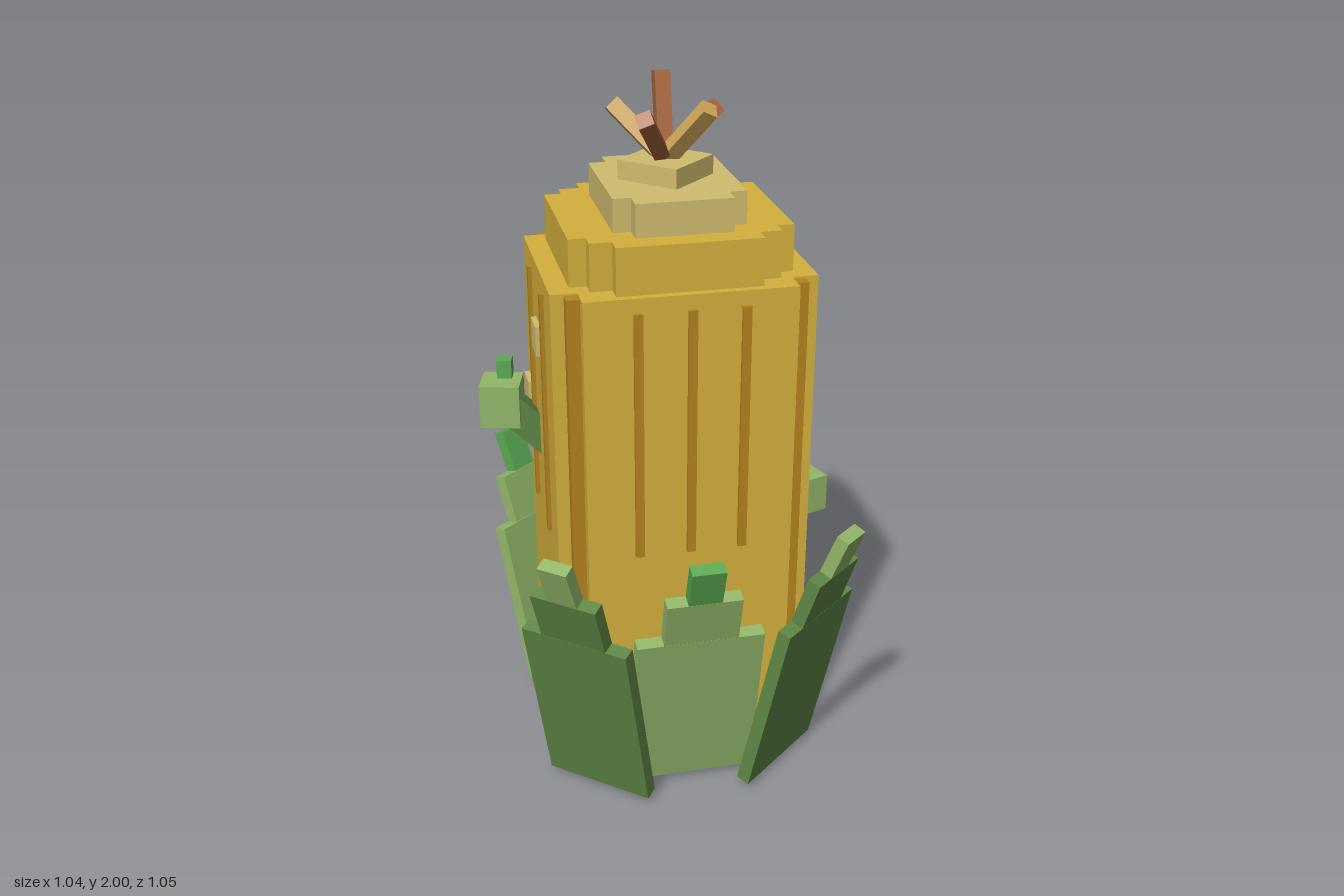
import * as THREE from 'three';

const mat = (name, color) => {
  const m = new THREE.MeshStandardMaterial({ color });
  m.name = name;
  return m;
};

export function createModel() {
  const gold = mat('kernel gold', 0xd3b03c);
  const amber = mat('amber', 0xb3831f);
  const pale = mat('pale kernel', 0xd0bc6e);
  const tan = mat('tan silk', 0xcfa557);
  const brown = mat('brown silk', 0xa8653a);
  const black = mat('face black', 0x1c1a0d);
  const leaf = mat('light leaf', 0x92b669);
  const darkLeaf = mat('dark leaf', 0x5f8746);
  const tipGreen = mat('bright leaf tip', 0x5ba852);

  const model = new THREE.Group();
  model.name = 'cornCharacter';
  const CX = 0.005, CZ = -0.012; // axis of the cob

  const box = (name, m, w, h, d, x, y, z, parent = model) => {
    const mesh = new THREE.Mesh(new THREE.BoxGeometry(w, h, d), m);
    mesh.name = name;
    mesh.position.set(x, y, z);
    parent.add(mesh);
    return mesh;
  };
  // Box with its long axis running between two points
  const stick = (name, m, a, b, w, d = w, parent = model) => {
    const p = new THREE.Vector3(...a), q = new THREE.Vector3(...b);
    const mid = p.clone().add(q).multiplyScalar(0.5);
    const mesh = box(name, m, w, p.distanceTo(q), d, mid.x, mid.y, mid.z, parent);
    mesh.quaternion.setFromUnitVectors(new THREE.Vector3(0, 1, 0), q.sub(p).normalize());
    return mesh;
  };
  // Stack of crossing boxes that makes a stepped round outline
  const tier = (name, m, y0, y1, sizes) => sizes.forEach(([hx, hz, mm = m]) =>
    box(name, mm, 2 * hx, y1 - y0, 2 * hz, CX, (y0 + y1) / 2, CZ));

  // Cob
  tier('cobBody', gold, 0.075, 1.505, [[0.357, 0.25], [0.285, 0.322]]);
  tier('cobCorners', amber, 0.08, 1.5, [[0.321, 0.285]]);
  tier('cobShoulder', gold, 1.505, 1.634, [[0.3, 0.205], [0.253, 0.25], [0.194, 0.3]]);
  tier('cobCrown', pale, 1.634, 1.724, [[0.178, 0.178], [0.13, 0.235]]);
  const cap = box('cobCap', pale, 0.185, 0.053, 0.185, CX, 1.7505, CZ);
  cap.rotation.y = Math.PI / 4;

  // Silk tuft
  [
    [brown, [CX, 1.765, -0.02], [CX, 1.993, -0.072]],
    [brown, [0.0, 1.765, -0.02], [0.165, 1.885, -0.102]],
    [brown, [CX, 1.765, -0.03], [-0.083, 1.915, 0.138]],
    [tan, [0.01, 1.765, -0.02], [-0.125, 1.91, -0.09]],
    [tan, [0.0, 1.765, -0.02], [0.097, 1.925, 0.098]],
  ].forEach(([m, a, b]) => stick('silkStrand', m, a, b, 0.042));

  // Grooves on front, sides and back
  for (const dx of [-0.143, 0, 0.143])
    box('frontGroove', amber, 0.024, 0.705, 0.02, CX + dx, 1.112, 0.311);
  for (const dx of [-0.092, 0.092])
    box('backGroove', amber, 0.024, 0.5, 0.02, CX + dx, 0.42, -0.335);
  for (const s of [-1, 1]) {
    for (const z of [0.108, -0.12])
      box('sideGroove', amber, 0.02, 0.705, 0.024, CX + s * 0.358, 1.112, z);
    for (const [y, z] of [[1.3, -0.003], [1.05, -0.212]])
      box('sideKernel', pale, 0.03, 0.085, 0.085, CX + s * 0.357, y, z);
  }

  // Face
  const face = new THREE.Group();
  face.name = 'face';
  face.position.set(CX, 0, -0.34);
  model.add(face);
  for (const s of [-1, 1]) {
    box('eye', black, 0.1, 0.185, 0.025, s * 0.119, 1.213, 0, face);
    box('eyeGlint', tan, 0.042, 0.05, 0.025, s * 0.119 + 0.024, 1.255, -0.011, face);
    box('cheek', brown, 0.09, 0.065, 0.022, s * 0.225, 1.012, 0, face);
    box('mouthCorner', black, 0.06, 0.07, 0.025, s * 0.158, 0.948, 0, face);
    box('mouthCurve', black, 0.06, 0.065, 0.025, s * 0.113, 0.896, 0, face);
    for (const x of [0.061, 0.183])
      box('browKernel', pale, 0.082, 0.068, 0.02, s * x, 1.442, 0, face);
  }
  box('mouthBottom', black, 0.18, 0.058, 0.025, 0, 0.85, 0, face);

  // Husk leaves: three segments bending outward, path = [radius, height]
  const huskLeaf = (yaw, mats, widths, path) => {
    const g = new THREE.Group();
    g.name = 'huskLeaf';
    g.position.x = CX;
    g.rotation.y = THREE.MathUtils.degToRad(yaw);
    model.add(g);
    const names = ['leafBase', 'leafMiddle', 'leafTip'];
    for (let i = 0; i < 3; i++) {
      const [r0, y0] = path[i], [r1, y1] = path[i + 1];
      stick(names[i], mats[i], [0, y0, r0], [0, y1, r1], widths[i], 0.04 - i * 0.001, g);
    }
  };
  huskLeaf(0, [leaf, leaf, tipGreen], [0.36, 0.21, 0.094],
    [[0.315, 0.025], [0.427, 0.55], [0.467, 0.695], [0.508, 0.812]]);
  for (const s of [-1, 1]) {
    huskLeaf(s * 40, [darkLeaf, darkLeaf, leaf], [0.325, 0.2, 0.088],
      [[0.405, 0.025], [0.528, 0.578], [0.577, 0.728], [0.625, 0.852]]);
    huskLeaf(s * 140, [leaf, leaf, tipGreen], [0.305, 0.19, 0.084],
      [[0.42, 0.025], [0.54, 0.538], [0.585, 0.682], [0.632, 0.802]]);
  }

  // Feet
  for (const s of [-1, 1])
    box('foot', darkLeaf, 0.238, 0.08, 0.41, CX + s * 0.16, 0.04, -0.105);

  // Raised right arm with thumb
  stick('rightArm', darkLeaf, [-0.32, 0.945, -0.095], [-0.44, 1.07, -0.095], 0.085);
  const raised = box('rightHand', leaf, 0.113, 0.125, 0.113, -0.452, 1.077, -0.098);
  raised.rotation.y = -0.25;
  const thumb = box('rightThumb', tipGreen, 0.042, 0.06, 0.042, -0.437, 1.163, -0.125);
  thumb.rotation.y = -0.25;

  // Lowered left arm
  stick('leftArm', darkLeaf, [0.33, 0.835, -0.095], [0.435, 0.71, -0.095], 0.085);
  const lowered = box('leftHand', leaf, 0.113, 0.115, 0.113, 0.45, 0.688, -0.097);
  lowered.rotation.y = 0.33;

  return model;
}
